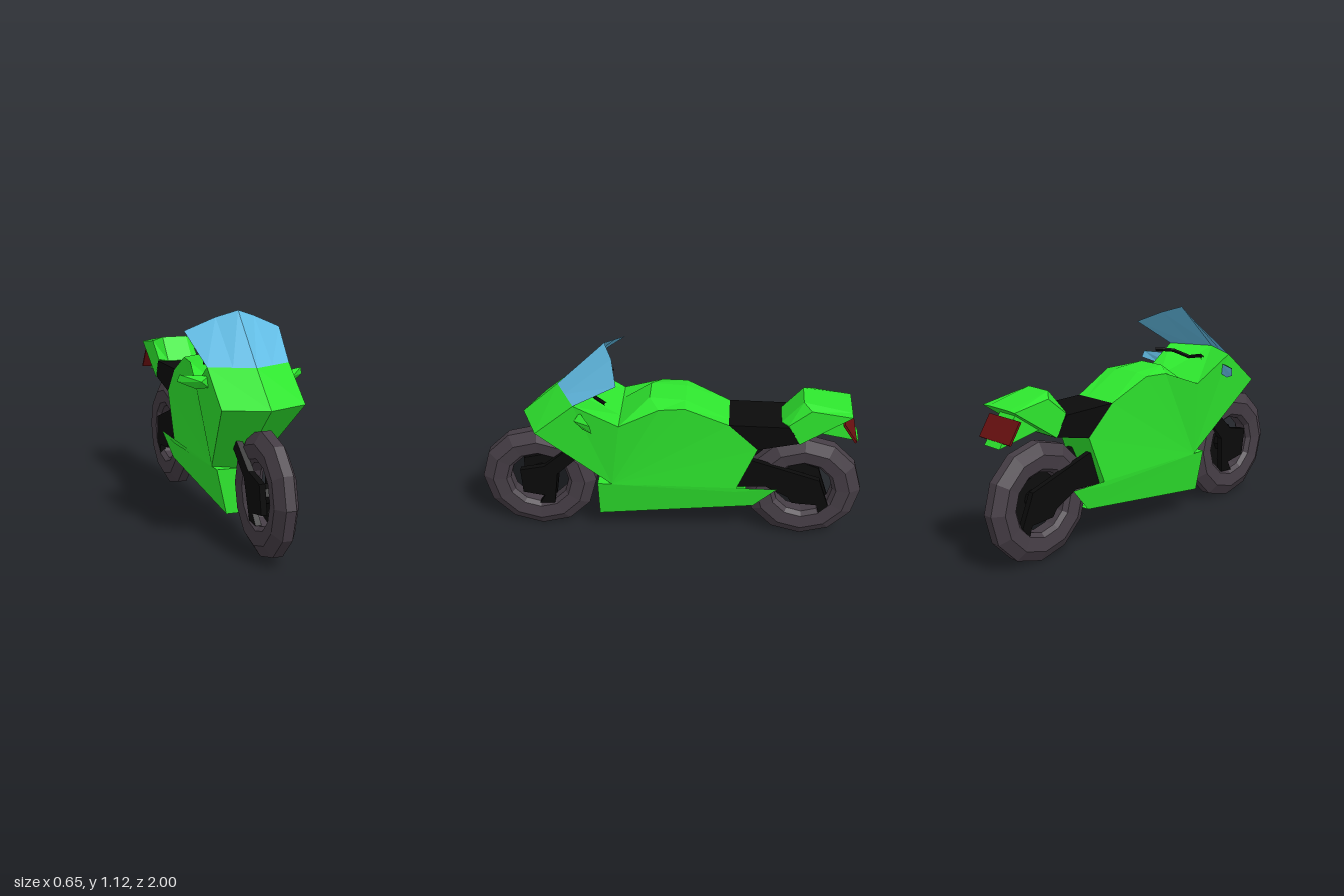
import * as THREE from 'three';

const mat = (color, side = THREE.FrontSide) =>
  new THREE.MeshStandardMaterial({ color, side, flatShading: true });
const V = (x, y, z) => new THREE.Vector3(x, y, z);
const flip = (p) => V(-p.x, p.y, p.z);

// Collects polygons (counter-clockwise corners) into one faceted geometry
function facets(polys) {
  const pos = [];
  for (const p of polys) {
    for (let i = 1; i < p.length - 1; i++) {
      const t = new THREE.Triangle(p[0], p[i], p[i + 1]);
      if (t.getArea() > 1e-7) for (const v of [t.a, t.b, t.c]) pos.push(v.x, v.y, v.z);
    }
  }
  const g = new THREE.BufferGeometry();
  g.setAttribute('position', new THREE.Float32BufferAttribute(pos, 3));
  g.computeVertexNormals();
  return g;
}

// Symmetric hull: stations [z, y, halfWidth, innerZ, innerY, innerHalfWidth] run
// round the side outline; each spans the model, and the flanks are fanned.
function shell(stations, open = []) {
  const rings = stations.map(([z, y, x, iz = z, iy = y, ix = 0]) =>
    [V(x, y, z), V(ix, iy, iz), V(-ix, iy, iz), V(-x, y, z)]);
  const polys = [
    rings.map((r) => r[0]).reverse(),
    rings.map((r) => r[3]),
  ];
  // Keep the fan centred on the first station on both flanks
  polys[0].unshift(polys[0].pop());
  rings.forEach((a, i) => {
    if (open.includes(i)) return;
    const b = rings[(i + 1) % rings.length];
    for (let k = 0; k < 3; k++) polys.push([a[k], b[k], b[k + 1], a[k + 1]]);
  });
  return facets(polys);
}

// Side-profile plate of [z, y] points, thickness along x starting at x = 0
function plate(points, depth) {
  const shape = new THREE.Shape(points.map(([z, y]) => new THREE.Vector2(-z, y)));
  return new THREE.ExtrudeGeometry(shape, { depth, bevelEnabled: false }).rotateY(Math.PI / 2);
}

export function createModel() {
  const model = new THREE.Group();
  const green = mat(0x2ee62e), greenThin = mat(0x2ee62e, THREE.DoubleSide);
  const black = mat(0x0b0b0b), rubber = mat(0x453d45);
  const glass = mat(0x62bce4, THREE.DoubleSide), red = mat(0x6a1010);
  const add = (name, geometry, material, parent = model) => {
    const m = new THREE.Mesh(geometry, material);
    m.name = name;
    parent.add(m);
    return m;
  };

  // Wheels: twelve-sided tyre rings
  const tyre = [[0.155, -0.03], [0.175, -0.052], [0.245, -0.06], [0.303, -0.025],
    [0.303, 0.025], [0.245, 0.06], [0.175, 0.052], [0.155, 0.03], [0.155, -0.03]]
    .map(([r, x]) => new THREE.Vector2(r, x));
  for (const [name, z] of [['frontWheel', 0.697], ['rearWheel', -0.697]]) {
    add(name, new THREE.LatheGeometry(tyre, 12).rotateZ(Math.PI / 2), rubber)
      .position.set(0, 0.303, z);
  }

  // Main fairing with nose, cockpit dip and tank
  add('fairing', shell([
    [0.30, 0.35, 0.125, 0.38, 0.35],
    [0.67, 0.71, 0.21, 0.76, 0.71],
    [0.47, 0.88, 0.21, 0.575, 0.88],
    [0.25, 0.755, 0.19, 0.25, 0.755, 0.08],
    [0.05, 0.835, 0.15, 0.10, 0.86, 0.07],
    [-0.08, 0.84, 0.14, -0.08, 0.85, 0.07],
    [-0.30, 0.74, 0.12, -0.30, 0.74, 0.06],
    [-0.45, 0.59, 0.11],
    [-0.34, 0.32, 0.11],
  ]), green);

  // Belly pan, open at the rear around the wheel
  add('bellyPan', shell([
    [0.375, 0.35, 0.125],
    [-0.34, 0.32, 0.112],
    [-0.56, 0.345, 0.112],
    [-0.44, 0.215, 0.085],
    [0.375, 0.12, 0.075],
  ], [1, 2]), greenThin);

  // Seat
  add('seat', shell([
    [-0.30, 0.74, 0.12], [-0.60, 0.737, 0.12], [-0.67, 0.64, 0.11], [-0.45, 0.59, 0.11],
  ]), black);

  // Tail hump with chamfered top
  add('tail', shell([
    [-0.66, 0.635, 0.115],
    [-0.60, 0.745, 0.115, -0.565, 0.74, 0.07],
    [-0.71, 0.835, 0.115, -0.67, 0.86, 0.07],
    [-0.915, 0.805, 0.115, -0.915, 0.808, 0.07],
    [-0.72, 0.675, 0.115],
  ]), green);
  add('rearFender', plate([[-0.70, 0.68], [-0.86, 0.775], [-0.96, 0.63]], 0.11)
    .translate(-0.055, 0, 0), green);
  const lamp = add('tailLight', new THREE.BoxGeometry(0.22, 0.12, 0.012), red);
  lamp.position.set(0, 0.705, -0.908);
  lamp.rotation.x = Math.atan2(0.065, 0.1);

  // Windscreen: swept facets mirrored about the centre
  const base = [V(0, 0.88, 0.575), V(0.10, 0.88, 0.525), V(0.21, 0.88, 0.47)];
  const rim = [V(0, 1.125, 0.33), V(0.10, 1.09, 0.285), V(0.25, 1.025, 0.25)];
  const panes = [];
  for (let i = 0; i < 2; i++) {
    const p = [base[i], base[i + 1], rim[i + 1], rim[i]];
    panes.push(p, p.map(flip).reverse());
  }
  add('windscreen', facets(panes), glass);

  // Front fork and swingarm plates, leaning outward with height
  const fork = [[0.79, 0.38], [0.66, 0.41], [0.50, 0.56], [0.44, 0.52], [0.595, 0.36],
    [0.62, 0.157], [0.70, 0.152], [0.67, 0.206], [0.785, 0.227]];
  const arm = [[-0.34, 0.32], [-0.34, 0.52], [-0.43, 0.50], [-0.78, 0.38], [-0.79, 0.345],
    [-0.835, 0.21], [-0.79, 0.15], [-0.775, 0.21], [-0.645, 0.22], [-0.62, 0.26], [-0.50, 0.33]];
  for (const [name, outline] of [['frontFork', fork], ['swingarm', arm]]) {
    for (const s of [1, -1]) {
      const g = plate(outline, 0.03);
      const p = g.attributes.position;
      for (let i = 0; i < p.count; i++) {
        const lean = 0.025 + 0.09 * (p.getY(i) - 0.2);
        p.setX(i, p.getX(i) - (s < 0 ? 0.03 : 0) + s * lean);
      }
      g.computeVertexNormals();
      add(name + (s > 0 ? 'Left' : 'Right'), g, black);
    }
  }
  for (const [name, z] of [['frontAxle', 0.697], ['rearAxle', -0.697]]) {
    add(name, new THREE.CylinderGeometry(0.05, 0.05, 0.08, 8).rotateZ(Math.PI / 2), black)
      .position.set(0, 0.303, z);
  }

  // Handlebar: bent bar rising to the grips
  const bar = new THREE.CurvePath();
  const bends = [V(-0.17, 0.875, 0.31), V(-0.10, 0.87, 0.375), V(0, 0.845, 0.395),
    V(0.10, 0.87, 0.375), V(0.17, 0.875, 0.31)];
  for (let i = 0; i < 4; i++) bar.add(new THREE.LineCurve3(bends[i], bends[i + 1]));
  add('handlebar', new THREE.TubeGeometry(bar, 16, 0.01, 5), black);

  // Mirrors: peaked shell in front, glass behind
  const edge = [V(0.19, 0.832, 0.44), V(0.19, 0.775, 0.44), V(0.245, 0.768, 0.42),
    V(0.325, 0.80, 0.365), V(0.315, 0.835, 0.375)];
  const peak = V(0.235, 0.81, 0.465);
  for (const s of [1, -1]) {
    const orient = (poly) => (s > 0 ? poly : poly.map(flip).reverse());
    const side = s > 0 ? 'Left' : 'Right';
    add('mirrorShell' + side, facets(edge.map((a, i) =>
      orient([a, edge[(i + 1) % edge.length], peak]))), greenThin);
    const back = edge.map((v) => v.clone().add(V(0, 0, -0.003))).reverse();
    add('mirrorGlass' + side, facets([orient(back)]), mat(0x62bce4));
  }
  return model;
}
